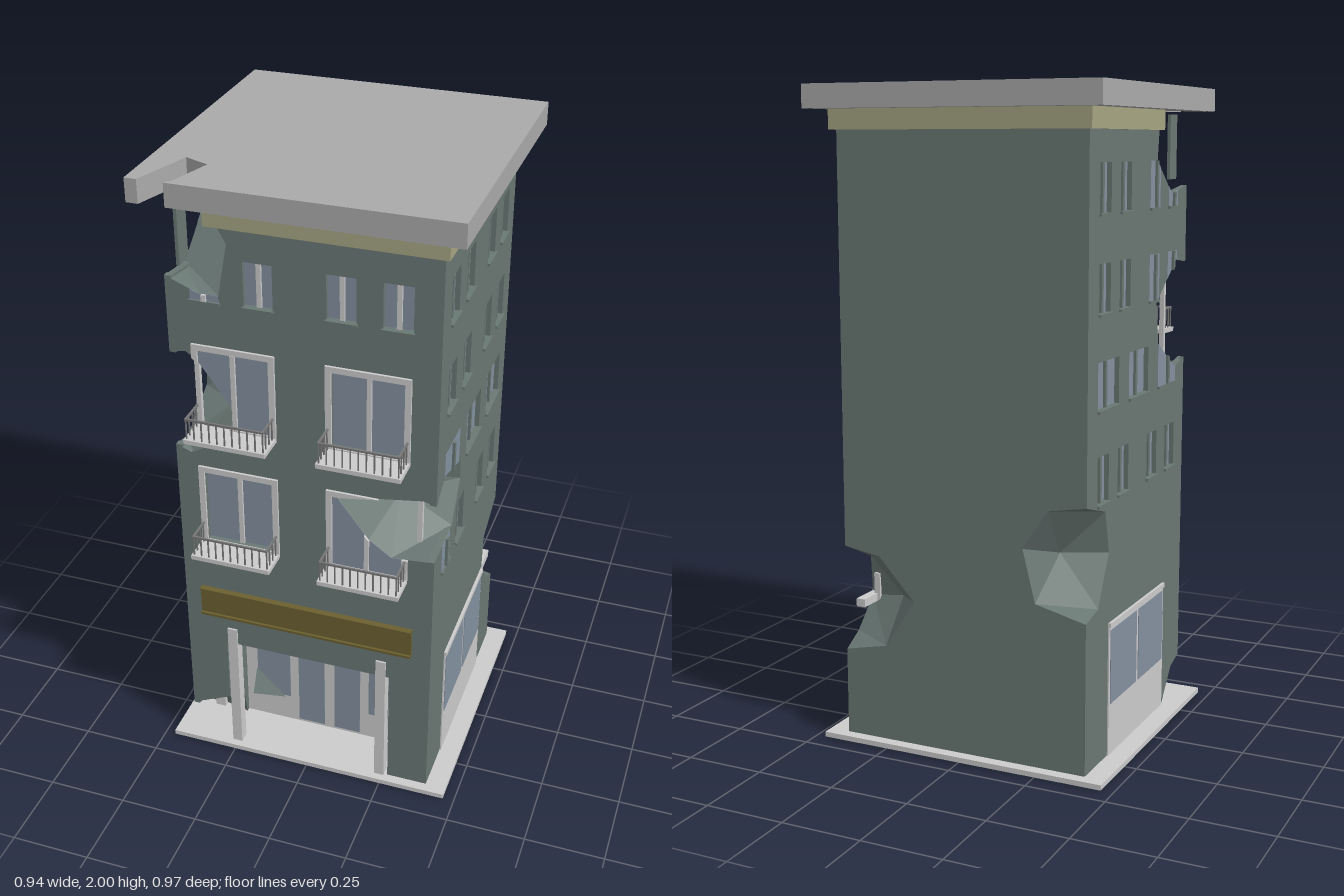
import * as THREE from 'three';
import { mergeGeometries } from 'three/addons/utils/BufferGeometryUtils.js';
import { ConvexGeometry } from 'three/addons/geometries/ConvexGeometry.js';

const mat = (color) => new THREE.MeshStandardMaterial({ color, flatShading: true, side: THREE.DoubleSide });
const GREY = mat(0xcccccc), ROOF = mat(0xaaaaaa), BODY = mat(0x6a7874), TRIM = mat(0xa6a582),
  SIGN = mat(0x6b6030), GLASS = mat(0x8490a0), RAIL = mat(0x777777);
const TOP = 1.93, FRONT = 0.39, BACK = -0.41, SIDE = 0.4, DOOR = 0.27;

// Blast holes at the corners. a: [x, y] on the front or back wall, b: [z, y] on the
// side wall, both from top to bottom; inner: further points of the hollow.
const holes = {
  top: {
    a: [[-0.27, TOP], [-0.21, 1.82], [-0.24, 1.66], [-0.3, 1.66], [-0.4, 1.7]],
    b: [[0.14, TOP], [0.12, 1.78], [0.25, 1.68], [0.39, 1.7]],
    inner: [[-0.4, TOP, FRONT], [-0.3, TOP, 0.2], [-0.28, 1.75, 0.22]],
  },
  mid: {
    a: [[-0.4, 1.46], [-0.35, 1.47], [-0.31, 1.44], [-0.21, 1.3], [-0.23, 1.2], [-0.35, 1.13], [-0.4, 1.15]],
    b: [[0.39, 1.46], [0.3, 1.47], [0.13, 1.35], [0.15, 1.22], [0.3, 1.13], [0.39, 1.15]],
    inner: [[-0.26, 1.3, 0.17], [-0.28, 1.22, 0.22]],
  },
  low: {
    a: [[-0.4, 0.14], [-DOOR, 0.2]],
    b: [[0.39, 0.14], [0.32, 0.12], [0.22, 0]],
    inner: [[-0.4, 0, FRONT], [-DOOR, 0, FRONT], [-DOOR, 0.15, 0.28], [-DOOR, 0, 0.25]],
  },
  frontLeft: {
    a: [[0.4, 1.1], [0.36, 1.11], [0.1, 1.07], [0.2, 0.94], [0.27, 0.89], [0.4, 0.9]],
    b: [[0.39, 1.1], [0.3, 1.15], [0.13, 1.1], [0.12, 1.03], [0.2, 0.91], [0.39, 0.9]],
    inner: [[0.24, 1, 0.2], [0.28, 1.05, 0.17]],
  },
  backLeft: {
    a: [[0.4, 0.62], [0.28, 0.6], [0.16, 0.47], [0.26, 0.32], [0.4, 0.29]],
    b: [[BACK, 0.62], [-0.26, 0.55], [-0.25, 0.42], [-0.34, 0.33], [BACK, 0.29]],
    inner: [[0.26, 0.45, -0.3]],
  },
  backRight: {
    a: [[-0.4, 0.82], [-0.28, 0.8], [-0.2, 0.68], [-0.24, 0.52], [-0.4, 0.48]],
    b: [[BACK, 0.82], [-0.27, 0.78], [-0.24, 0.65], [-0.32, 0.5], [BACK, 0.48]],
    inner: [[-0.27, 0.65, -0.3]],
  },
};

// 2D helpers: area, half-plane clip, and cutting a convex outline out of another
const area = (p) => p.reduce((s, [x, y], i) => { const q = p[(i + 1) % p.length]; return s + (x * q[1] - q[0] * y) / 2; }, 0);
function clip(poly, a, b) {
  const d = (p) => (b[0] - a[0]) * (p[1] - a[1]) - (b[1] - a[1]) * (p[0] - a[0]);
  return poly.flatMap((p, i) => {
    const q = poly[(i + 1) % poly.length], dp = d(p), dq = d(q), t = dp / (dp - dq);
    const out = dp >= 0 ? [p] : [];
    if (dp * dq < 0) out.push([p[0] + t * (q[0] - p[0]), p[1] + t * (q[1] - p[1])]);
    return out;
  });
}
function subtract(poly, cut) {
  const c = area(cut) > 0 ? cut : [...cut].reverse(), out = [];
  let rest = poly;
  c.forEach((a, i) => {
    const b = c[(i + 1) % c.length], piece = clip(rest, b, a);
    if (Math.abs(area(piece)) > 1e-6) out.push(piece);
    rest = clip(rest, a, b);
  });
  return Math.abs(area(rest)) < 1e-6 ? [poly] : out;
}
const toShape = (pts) => new THREE.Shape(pts.map(([x, y]) => new THREE.Vector2(x, y)));
const rect = (u0, u1, y0, y1) => [[u0, y0], [u1, y0], [u1, y1], [u0, y1]];
const extrude = (shape, z0, z1) => new THREE.ExtrudeGeometry(shape, { depth: z1 - z0, bevelEnabled: false }).translate(0, 0, z0);

function add(parent, name, geometry, material) {
  const m = new THREE.Mesh(geometry, material);
  m.name = name;
  parent.add(m);
  return m;
}
function box(parent, name, x0, x1, y0, y1, z0, z1, material) {
  return add(parent, name, new THREE.BoxGeometry(x1 - x0, y1 - y0, z1 - z0)
    .translate((x0 + x1) / 2, (y0 + y1) / 2, (z0 + z1) / 2), material);
}
// Horizontal slab from an [x, z] outline
const slab = (parent, name, pts, y0, y1, material) =>
  add(parent, name, extrude(toShape(pts.map(([x, z]) => [x, -z])), y0, y1).rotateX(-Math.PI / 2), material);

// Wall with windows; local z = 0 is the outer surface. Windows are cut off by the blast holes.
function facade(parent, name, outline, cuts, windows, place) {
  const g = new THREE.Group();
  g.name = name;
  place(g);
  parent.add(g);
  const shape = toShape(outline);
  const pieces = (r) => cuts.reduce((list, c) => list.flatMap((p) => subtract(p, c)), [r]);
  const flat = (label, rects, z0, z1, material) => {
    const geos = rects.flatMap(pieces).map((p) => extrude(toShape(p), z0, z1));
    if (geos.length) add(g, label, mergeGeometries(geos), material);
  };
  for (const { u, y, w, h, frame = 0, mullion = BODY } of windows) {
    const u0 = u - w / 2, u1 = u + w / 2, r = rect(u0 + frame, u1 - frame, y + frame, y + h - frame);
    const whole = pieces(r)[0] === r;
    if (whole) shape.holes.push(new THREE.Path(r.map(([a, b]) => new THREE.Vector2(a, b))));
    const z = whole ? -0.015 : 0.001;
    flat('windowGlass', [r], z - 0.002, z, GLASS);
    flat('windowMullion', [rect(u - 0.007, u + 0.007, y + frame, y + h - frame)], z, z + 0.008, mullion);
    if (frame) {
      flat('windowFrame', [rect(u0, u0 + frame, y, y + h), rect(u1 - frame, u1, y, y + h),
        rect(u0 + frame, u1 - frame, y + h - frame, y + h), rect(u0 + frame, u1 - frame, y, y + frame)], 0, 0.008, GREY);
    } else flat('windowSill', [rect(u0 - 0.004, u1 + 0.004, y - 0.008, y)], 0, 0.008, BODY);
  }
  add(g, name + 'Wall', extrude(shape, -0.02, 0), BODY);
  return g;
}

// Inside faces of a blast hole: a convex hull turned inside out, open at the walls
function crater(parent, { a, b, inner }, sx, sz) {
  const z = sz > 0 ? FRONT : BACK;
  const pts = [...a.map(([x, y]) => [x, y, z]), ...b.map(([w, y]) => [sx * SIDE, y, w]), ...inner];
  const p = new ConvexGeometry(pts.map((v) => new THREE.Vector3(...v))).getAttribute('position');
  const open = [[0, SIDE], [0, -SIDE], [0, -DOOR], [1, TOP], [1, 0], [2, FRONT], [2, BACK]];
  const out = [];
  for (let i = 0; i < p.count; i += 3) {
    const t = [2, 1, 0].map((k) => [p.getX(i + k), p.getY(i + k), p.getZ(i + k)]);
    if (!open.some(([axis, at]) => t.every((v) => Math.abs(v[axis] - at) < 1e-4))) out.push(...t.flat());
  }
  const geo = new THREE.BufferGeometry();
  geo.setAttribute('position', new THREE.Float32BufferAttribute(out, 3));
  geo.computeVertexNormals();
  add(parent, 'blastHole', geo, BODY);
}

function balcony(parent, x, y) {
  const g = new THREE.Group(), x0 = x - 0.125, x1 = x + 0.125, z1 = 0.485;
  g.name = 'balcony';
  parent.add(g);
  box(g, 'balconyFloor', x0, x1, y, y + 0.014, FRONT, z1, GREY);
  const bar = (bx, bz) => box(g, 'railBar', bx - 0.002, bx + 0.002, y + 0.014, y + 0.078, bz - 0.002, bz + 0.002, RAIL);
  for (let i = 0; i <= 10; i++) bar(x0 + 0.008 + i * 0.0234, z1 - 0.008);
  for (const s of [x0 + 0.008, x1 - 0.008]) {
    for (let i = 0; i < 3; i++) bar(s, FRONT + 0.015 + i * 0.025);
    box(g, 'sideRail', s - 0.003, s + 0.003, y + 0.076, y + 0.082, FRONT, z1 - 0.005, RAIL);
  }
  box(g, 'frontRail', x0 + 0.005, x1 - 0.005, y + 0.076, y + 0.082, z1 - 0.011, z1 - 0.005, RAIL);
}

export function createModel() {
  const model = new THREE.Group();
  model.name = 'damagedBuilding';
  const { top, mid, low, frontLeft, backLeft, backRight } = holes;
  const U = (list, s = 1) => list.map(([p, y]) => [p * s, y]);
  const up = (list, s = 1) => U(list, s).reverse();

  // Walls
  const tall = [-0.205, 0.195].flatMap((u) => [0.81, 1.22].map((y) => ({ u, y, w: 0.25, h: 0.28, frame: 0.018, mullion: GREY })));
  const attic = [-0.283, -0.123, 0.117, 0.277].map((u) => ({ u, y: 1.64, w: 0.085, h: 0.135, mullion: GREY }));
  const sideWindows = (s) => [
    ...[0.81, 1.36, 1.64].flatMap((y) => [0.265, 0.105, -0.135, -0.29].map((z) => ({ u: z * s, y, w: 0.085, h: 0.14 }))),
    ...[0.23, -0.015, -0.255].map((z) => ({ u: z * s, y: 1.085, w: 0.16, h: 0.138 }))];
  facade(model, 'front', [[-DOOR, 0.43], [DOOR, 0.43], [DOOR, 0], [SIDE, 0], ...up(frontLeft.a), [SIDE, TOP], ...top.a, ...mid.a, ...low.a],
    [[...top.a, [-SIDE, TOP]], mid.a, frontLeft.a], [...tall, ...attic], (g) => g.position.set(0, 0, FRONT));
  facade(model, 'back', [[-SIDE, 0], [SIDE, 0], ...up(backRight.a, -1), [SIDE, TOP], [-SIDE, TOP], ...U(backLeft.a, -1)],
    [], [], (g) => { g.position.z = BACK; g.rotation.y = Math.PI; });
  const left = facade(model, 'leftSide', [[-FRONT, 0], [-BACK, 0], ...up(backLeft.b, -1), [-BACK, TOP], [-FRONT, TOP], ...U(frontLeft.b, -1)],
    [U(frontLeft.b, -1)], sideWindows(-1), (g) => { g.position.x = SIDE; g.rotation.y = Math.PI / 2; });
  const right = facade(model, 'rightSide', [[BACK, 0], ...up(low.b), ...up(mid.b), ...up(top.b), [BACK, TOP], ...backRight.b],
    [[...top.b, [FRONT, TOP]], mid.b], sideWindows(1), (g) => { g.position.x = -SIDE; g.rotation.y = -Math.PI / 2; });
  for (const h of [top, mid, low, backRight]) crater(model, h, -1, h === backRight ? -1 : 1);
  crater(model, frontLeft, 1, 1);
  crater(model, backLeft, 1, -1);

  // Shop windows on both sides
  for (const [g, s] of [[left, -1], [right, 1]]) {
    const c = -0.008 * s;
    box(g, 'shopPanel', c - 0.232, c + 0.232, 0.02, 0.43, -0.02, 0.004, GREY);
    for (const k of [-1, 1]) box(g, 'shopGlass', c + k * 0.115 - 0.107, c + k * 0.115 + 0.107, 0.18, 0.41, 0, 0.006, GLASS);
    box(g, 'shopLintel', c - 0.232, c + 0.232, 0.42, 0.434, 0, 0.009, GREY);
  }

  // Recessed entrance with doors and pillars
  box(model, 'entranceScreen', -DOOR, DOOR, 0.01, 0.43, 0.225, 0.24, GREY);
  for (const [x0, x1, y0] of [[-0.23, -0.115, 0.12], [-0.085, 0.005, 0.03], [0.04, 0.128, 0.03], [0.158, 0.225, 0.12]])
    box(model, 'entranceGlass', x0, x1, y0, 0.42, 0.238, 0.243, GLASS);
  box(model, 'entranceCeiling', -DOOR, DOOR, 0.43, 0.44, 0.23, FRONT - 0.01, BODY);
  box(model, 'entranceLeftWall', DOOR, DOOR + 0.01, 0, 0.43, 0.23, FRONT - 0.005, BODY);
  const jamb = toShape([[0.24, 0.43], [FRONT, 0.43], [FRONT, 0.2], [0.28, 0.15], [0.25, 0], [0.24, 0]]);
  add(model, 'entranceRightWall', new THREE.ShapeGeometry(jamb).rotateY(-Math.PI / 2).translate(-DOOR, 0, 0), BODY);
  for (const x of [-0.248, 0.243]) box(model, 'pillar', x - 0.016, x + 0.016, 0.02, 0.49, 0.36, 0.396, GREY);
  add(model, 'rubbleShard', new ConvexGeometry([[-0.23, 0.22, 0.25], [-0.13, 0.12, 0.25], [-0.23, 0.12, 0.25], [-0.23, 0.14, 0.29]]
    .map((v) => new THREE.Vector3(...v))), BODY);

  // Exposed beams in the blast holes
  box(model, 'brokenBeam', 0.37, 0.4, 0.41, 0.435, -0.35, -0.22, GREY);
  box(model, 'brokenPost', 0.36, 0.38, 0.34, 0.5, -0.275, -0.255, GREY);
  box(model, 'brokenPost', -0.385, -0.35, 0.02, 0.15, 0.235, 0.255, GREY);
  box(model, 'brokenPost', 0.325, 0.34, 0.91, 1.07, 0.3, 0.315, GREY);
  box(model, 'brokenPost', -0.37, -0.355, 1.16, 1.42, 0.28, 0.295, GREY);
  box(model, 'brokenPost', -0.375, -0.365, 1.72, 1.92, 0.3, 0.36, BODY);

  // Sign board, balconies, base, cornice and roof
  box(model, 'signBoard', -0.345, 0.34, 0.54, 0.64, FRONT, 0.402, SIGN);
  for (const y of [0.54, 0.632]) box(model, 'signEdge', -0.345, 0.34, y, y + 0.008, FRONT, 0.41, SIGN);
  for (const y of [0.81, 1.22]) for (const x of [-0.205, 0.195]) balcony(model, x, y);
  slab(model, 'bodyUnderside', [[SIDE, BACK], [SIDE, FRONT], [-0.2, FRONT], [-0.2, 0.27], [-0.27, 0.23], [-SIDE, 0.22], [-SIDE, BACK]], 0, 0.004, BODY);
  box(model, 'base', -0.465, 0.465, 0.004, 0.02, -0.445, 0.42, GREY);
  slab(model, 'cornice', [[0.415, -0.43], [0.415, 0.405], [-0.27, 0.405], [-0.3, 0.22], [-0.415, 0.14], [-0.415, -0.43]], 1.87, TOP, TRIM);
  slab(model, 'roofSlab', [[0.468, -0.486], [0.468, 0.45], [-0.355, 0.45], [-0.338, 0.43], [-0.295, 0.295], [-0.37, 0.265],
    [-0.432, 0.45], [-0.468, 0.45], [-0.468, -0.486]], TOP, 2, ROOF);
  return model;
}
